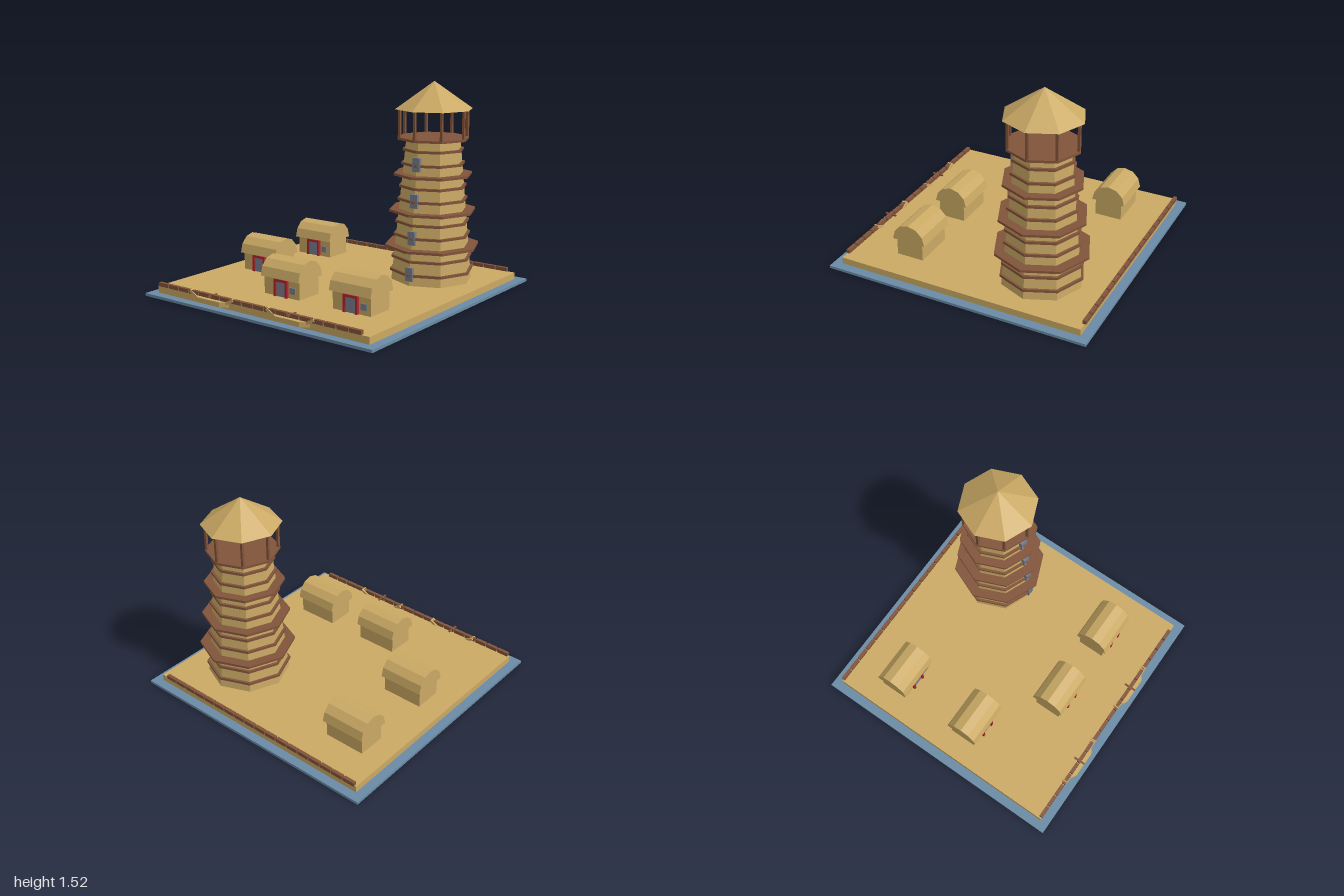
import * as THREE from 'three';

const mat = (name, color) => Object.assign(new THREE.MeshStandardMaterial({ color, flatShading: true }), { name });

export function createModel() {
  const sand = mat('sand', 0xcaa964);
  const water = mat('water blue', 0x6a8aa5);
  const wood = mat('brown wood', 0x82543a);
  const grey = mat('slate grey', 0x7a808c);
  const red = mat('red', 0xb0262c);

  const model = new THREE.Group();
  model.name = 'villageWithTower';

  const add = (parent, name, geo, material, x, y, z) => {
    const mesh = new THREE.Mesh(geo, material);
    mesh.name = name;
    mesh.position.set(x, y, z);
    parent.add(mesh);
    return mesh;
  };
  const box = (parent, name, material, w, h, d, x, y, z) =>
    add(parent, name, new THREE.BoxGeometry(w, h, d), material, x, y, z);
  const group = (name, x, y, z) => {
    const g = new THREE.Group();
    g.name = name;
    g.position.set(x, y, z);
    model.add(g);
    return g;
  };

  // Water slab and raised land
  box(model, 'water', water, 2, 0.02, 2, 0, 0.01, 0);
  box(model, 'land', sand, 1.866, 0.05, 1.866, 0, 0.045, 0);

  // Eight-sided tapering tower
  const tower = group('tower', 0.5, 0, -0.45);
  const octagon = (name, material, rTop, rBottom, y0, y1) =>
    add(tower, name, new THREE.CylinderGeometry(rTop, rBottom, y1 - y0, 8), material, 0, (y0 + y1) / 2, 0);
  const wallRadius = (y) => 0.3 - 0.1 * (y - 0.07) / 1.04;
  octagon('towerWall', sand, 0.2, 0.3, 0.07, 1.11);

  // Narrow bands, wide ledges and the lookout deck
  const disc = (name, r, y) => octagon(name, wood, r, r, y - 0.009, y + 0.009);
  for (const y of [0.145, 0.245, 0.41, 0.505, 0.67, 0.765, 0.93, 1.03]) disc('band', wallRadius(y) + 0.018, y);
  [[0.35, 0.325], [0.32, 0.585], [0.29, 0.85]].forEach(([r, y]) => disc('ledge', r, y));
  disc('lookoutDeck', 0.264, 1.11);

  // Lookout posts and pointed roof
  for (let i = 0; i < 8; i++) {
    const a = i * Math.PI / 4;
    box(tower, 'post', wood, 0.018, 0.21, 0.018, 0.25 * Math.sin(a), 1.217, 0.25 * Math.cos(a));
  }
  octagon('towerRoof', sand, 0, 0.286, 1.32, 1.52);

  // Tower windows on the front corner
  for (const y of [0.155, 0.415, 0.68, 0.94])
    box(tower, 'towerWindow', grey, 0.06, 0.1, 0.026, 0, y, wallRadius(y));

  // Houses with rounded roofs
  const arch = new THREE.Shape();
  for (let i = 0; i <= 6; i++) {
    const a = i * Math.PI / 6;
    arch[i ? 'lineTo' : 'moveTo'](0.13 * Math.cos(a), 0.132 * Math.sin(a));
  }
  arch.closePath();
  const roofGeo = new THREE.ExtrudeGeometry(arch, { depth: 0.34, bevelEnabled: false });
  roofGeo.translate(0, 0, -0.17).rotateY(Math.PI / 2);

  for (const [x, z] of [[-0.605, -0.555], [-0.605, 0.1], [-0.052, 0.5], [0.55, 0.5]]) {
    const house = group('house', x, 0.07, z);
    box(house, 'houseWall', sand, 0.314, 0.13, 0.208, 0, 0.065, 0);
    add(house, 'houseRoof', roofGeo, sand, 0, 0.13, 0);
    for (const s of [-1, 1]) box(house, 'doorPost', red, 0.018, 0.125, 0.022, s * 0.05, 0.0625, 0.114);
    box(house, 'doorLintel', red, 0.118, 0.018, 0.022, 0, 0.116, 0.114);
    box(house, 'door', grey, 0.084, 0.107, 0.01, 0, 0.0535, 0.107);
    box(house, 'houseWindow', grey, 0.048, 0.044, 0.014, 0.102, 0.058, 0.107);
  }

  // Rows of low planks along the front and back shores
  for (const z of [-0.932, 0.926])
    for (let i = 0; i < 18; i++)
      box(model, 'shorePlank', wood, 0.09, 0.028, 0.026, -0.875 + 0.1 * i, 0.085, z);

  // Two boats moored against the front shore
  const hullShape = new THREE.Shape([
    [-0.17, 0], [-0.1, -0.04], [0.1, -0.04], [0.17, 0], [0.1, 0.04], [-0.1, 0.04],
  ].map(([x, y]) => new THREE.Vector2(x, y)));
  const hullGeo = new THREE.ExtrudeGeometry(hullShape, { depth: 0.035, bevelEnabled: false });
  hullGeo.rotateX(-Math.PI / 2);
  for (const x of [-0.405, 0.3]) {
    const boat = group('boat', x, 0, 0.928);
    add(boat, 'hull', hullGeo, sand, 0, 0.035, 0);
    for (const s of [-1, 1])
      box(boat, 'raisedEnd', sand, 0.07, 0.02, 0.045, s * 0.17, 0.078, -0.006).rotation.z = s * 0.5;
    box(boat, 'crossbar', wood, 0.012, 0.012, 0.09, 0, 0.09, -0.003);
  }

  return model;
}
